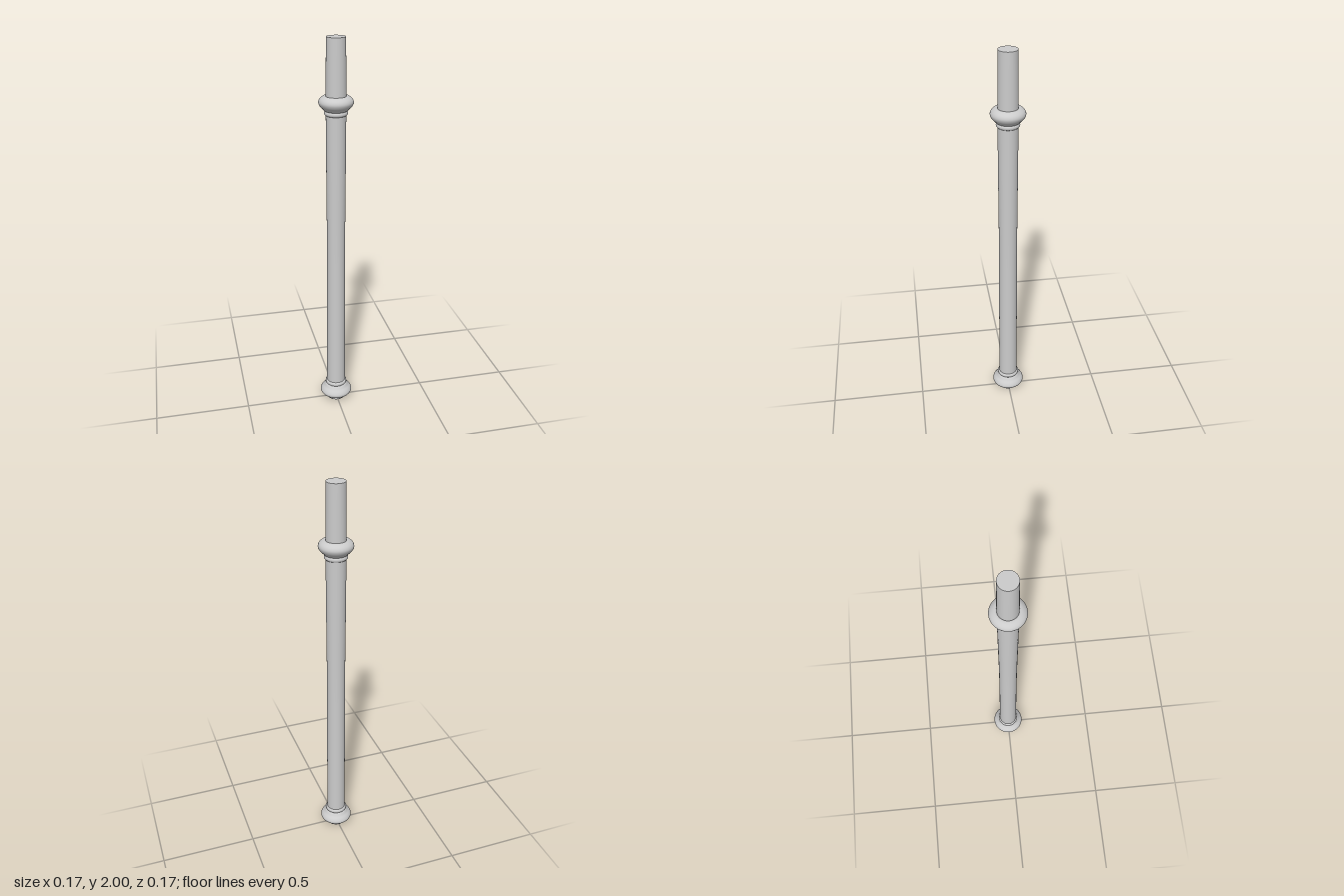
import * as THREE from 'three';

const material = new THREE.MeshStandardMaterial({ color: 0xcccccc });

// Turned part from [radius, height] pairs
function turned(name, points) {
  const profile = points.map(([r, y]) => new THREE.Vector2(r, y));
  const mesh = new THREE.Mesh(new THREE.LatheGeometry(profile, 64), material);
  mesh.name = name;
  return mesh;
}

// Smooth turned part through [radius, height] pairs
function turnedSmooth(name, points, steps = 32) {
  const curve = new THREE.SplineCurve(points.map(([r, y]) => new THREE.Vector2(r, y)));
  return turned(name, curve.getPoints(steps).map((p) => [p.x, p.y]));
}

// Rounded ring moulding, bulging out from a radius
function bead(name, inner, outer, y, half) {
  const points = [];
  for (let i = 0; i <= 10; i++) {
    const a = -Math.PI / 2 + (i / 10) * Math.PI;
    points.push([inner + (outer - inner) * Math.cos(a), y + half * Math.sin(a)]);
  }
  return turned(name, points);
}

// Flat end cap
function cap(name, radius, y, up) {
  const mesh = new THREE.Mesh(new THREE.CircleGeometry(radius, 64), material);
  mesh.rotation.x = up ? -Math.PI / 2 : Math.PI / 2;
  mesh.position.y = y;
  mesh.name = name;
  return mesh;
}

export function createModel() {
  const group = new THREE.Group();
  group.name = 'turnedPost';

  // Slightly waisted shaft and the spigot above the collar
  group.add(turnedSmooth('shaft', [[0.05, 0.09], [0.0485, 0.5], [0.047, 0.88], [0.0485, 1.27], [0.05, 1.65]]));
  group.add(turned('spigot', [[0.05, 1.65], [0.05, 1.74], [0.047, 2]]));
  group.add(cap('spigotTop', 0.047, 2, true));

  // Foot disc under the base
  group.add(turned('foot', [[0.05, 0], [0.052, 0.005], [0.052, 0.025]]));
  group.add(cap('footUnderside', 0.05, 0, false));

  // Base bulb: full low down, narrowing to a neck
  group.add(turnedSmooth('baseBulb', [
    [0.05, 0.018], [0.066, 0.02], [0.081, 0.032], [0.086, 0.046],
    [0.079, 0.061], [0.067, 0.074], [0.058, 0.087], [0.05, 0.09],
  ]));
  group.add(bead('baseBead', 0.048, 0.058, 0.1, 0.012));

  // Upper collar: the same moulding turned over
  group.add(turnedSmooth('collar', [
    [0.05, 1.648], [0.058, 1.651], [0.067, 1.661], [0.079, 1.673],
    [0.086, 1.69], [0.081, 1.706], [0.067, 1.718], [0.054, 1.722], [0.048, 1.718],
  ]));
  group.add(bead('collarBead', 0.048, 0.058, 1.638, 0.012));

  return group;
}
